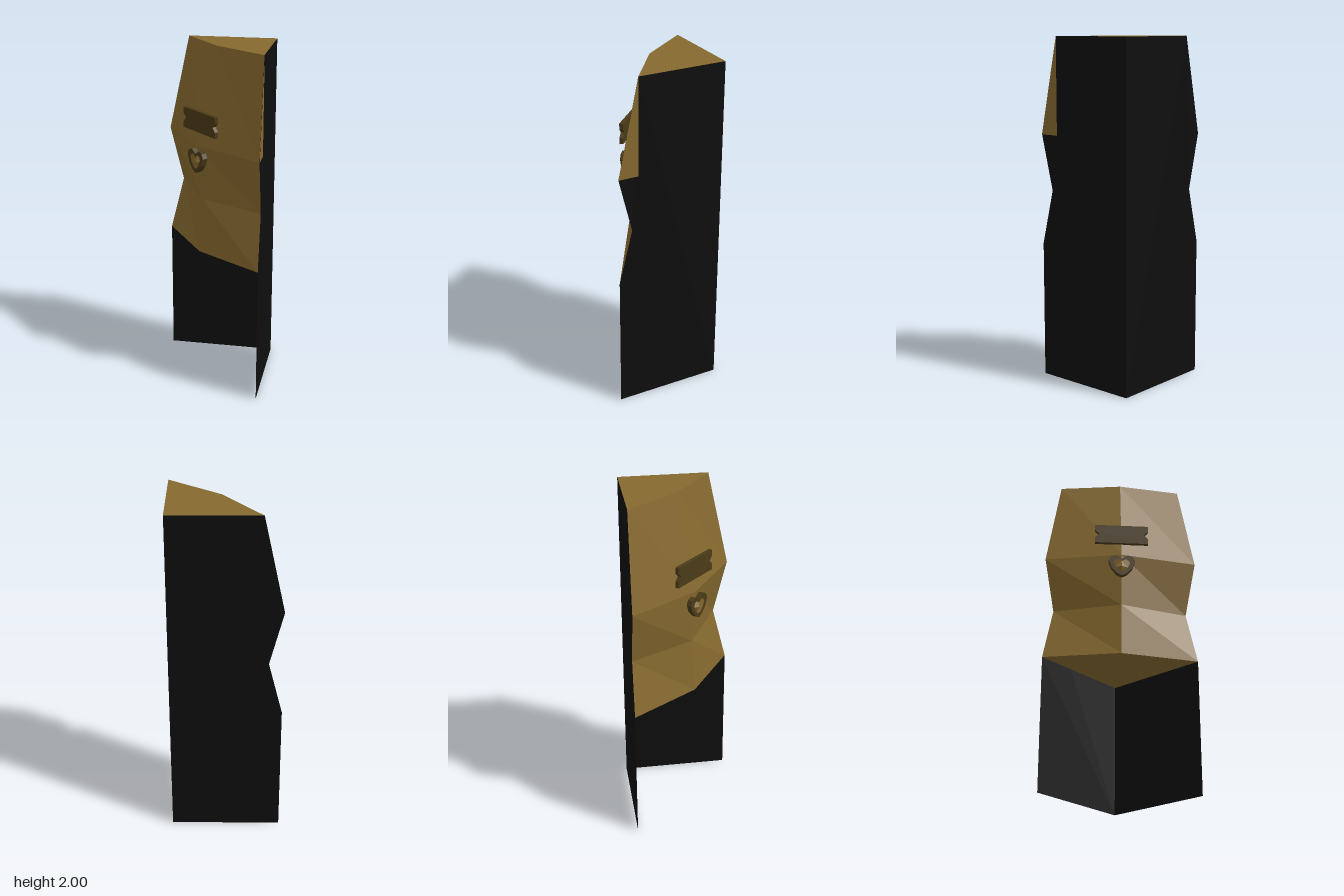
import * as THREE from 'three';

const gold = new THREE.MeshStandardMaterial({ color: 0x86692f, flatShading: true });
const darkGold = new THREE.MeshStandardMaterial({ color: 0x4a3a18, flatShading: true });
const black = new THREE.MeshStandardMaterial({ color: 0x0e0e0e, side: THREE.DoubleSide });

const W = 0.32;
// Rows of the faceted front: height, reach of the outer edges, reach of the centre ridge
const rows = [[0.8, 0.32, 0.065], [1.12, 0.24, 0.048], [1.44, 0.32, 0.065], [2, 0.2, -0.022]];

function add(parent, name, geometry, material) {
  const mesh = new THREE.Mesh(geometry, material);
  mesh.name = name;
  parent.add(mesh);
  return mesh;
}

function triangles(list) {
  const g = new THREE.BufferGeometry();
  g.setAttribute('position', new THREE.Float32BufferAttribute(list.flat(2), 3));
  g.computeVertexNormals();
  return g;
}

// Faceted front between the two walls, closed at top and bottom
function bodyGeometry() {
  const tris = [];
  const rings = rows.map(([y, o, c]) => [[-o, y, -W], [-c, y, c], [W, y, o], [W, y, -W]]);
  for (let i = 0; i < rings.length - 1; i++) {
    const [a0, c0, b0] = rings[i];
    const [a1, c1, b1] = rings[i + 1];
    tris.push([a0, c0, a1], [c0, c1, a1], [c0, b0, c1], [b0, b1, c1]);
  }
  const [a, c, b, k] = rings[rings.length - 1];
  tris.push([a, c, k], [c, b, k]);
  const [d, e, f, m] = rings[0];
  tris.push([d, m, e], [e, m, f]);
  return triangles(tris);
}

// Thin wall with the waisted front edge
function wallGeometry() {
  const s = new THREE.Shape();
  s.moveTo(W, 0);
  s.lineTo(W, 2);
  [...rows].reverse().forEach(([y, o]) => s.lineTo(-o, y));
  s.lineTo(-W, 0);
  return new THREE.ShapeGeometry(s);
}

function heartPath(k, Type) {
  const half = [[0, 0.045], [0.035, 0.068], [0.066, 0.058], [0.078, 0.03], [0.062, -0.015], [0.03, -0.052], [0, -0.068]];
  const left = half.slice(1, -1).reverse().map(([x, y]) => [-x, y]);
  return new Type([...half, ...left].map(([x, y]) => new THREE.Vector2(x * k, y * k)));
}

export function createModel() {
  const model = new THREE.Group();
  model.name = 'cornerCabinet';

  add(model, 'frontPanels', bodyGeometry(), gold);

  // Two walls meeting in the rear corner
  add(model, 'backWall', wallGeometry(), black).position.z = -W;
  const side = add(model, 'sideWall', wallGeometry(), black);
  side.rotation.y = Math.PI / 2;
  side.position.x = W;

  // Gold cheek on the upper side wall
  const x = W + 0.001;
  add(model, 'sideCheek', triangles([[[x, 1.44, 0.32], [x, 1.44, 0.2], [x, 2, 0.2]]]), gold);

  // Ornaments face out along the diagonal
  const ornaments = new THREE.Group();
  ornaments.name = 'ornaments';
  ornaments.rotation.y = -Math.PI / 4;
  model.add(ornaments);

  // Plaque with notched ends
  const plate = new THREE.Shape();
  const corner = [[0.16, -0.06], [0.16, -0.025], [0.135, 0], [0.16, 0.025], [0.16, 0.06]];
  plate.setFromPoints([...corner, ...corner.map(([px, py]) => [-px, -py])].map(p => new THREE.Vector2(...p)));
  const plaque = add(ornaments, 'plaque',
    new THREE.ExtrudeGeometry(plate, { depth: 0.022, bevelEnabled: false }), darkGold);
  plaque.position.set(0, 1.58, 0.07);

  // Heart frame with a faceted stone
  const frame = heartPath(1, THREE.Shape);
  frame.holes.push(heartPath(0.62, THREE.Path));
  const heart = add(ornaments, 'heartFrame',
    new THREE.ExtrudeGeometry(frame, { depth: 0.03, bevelEnabled: false }), darkGold);
  heart.position.set(0, 1.355, 0.088);

  const stone = add(ornaments, 'heartStone', new THREE.OctahedronGeometry(0.045), gold);
  stone.scale.set(0.9, 1, 0.5);
  stone.position.set(0, 1.352, 0.095);

  return model;
}
